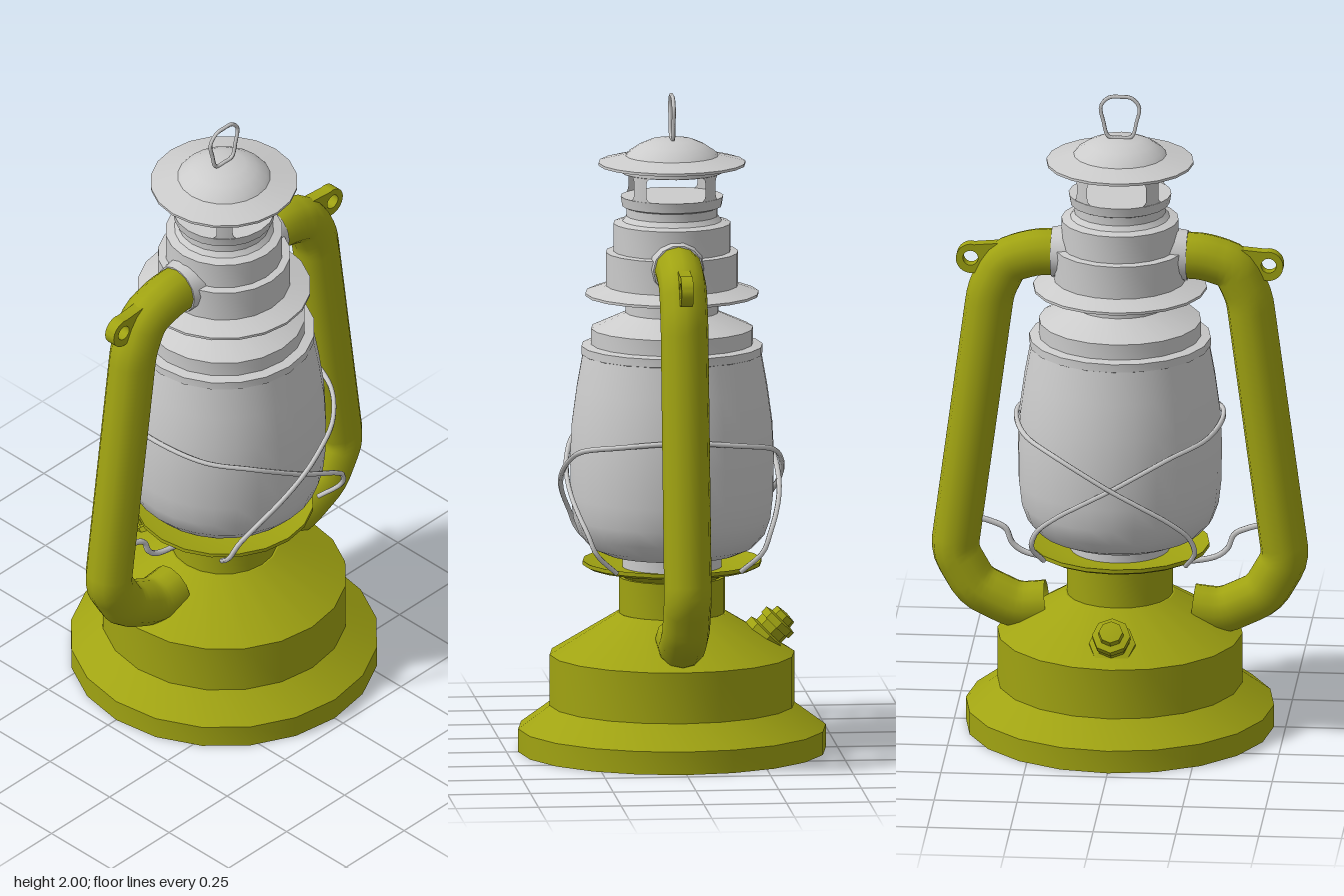
import * as THREE from 'three';
import { toCreasedNormals } from 'three/addons/utils/BufferGeometryUtils.js';

const SIDES = 20;
const olive = new THREE.MeshStandardMaterial({ color: 0xa0a312, side: THREE.DoubleSide });
const grey = new THREE.MeshStandardMaterial({ color: 0xcccccc, side: THREE.DoubleSide });

function part(parent, name, geometry, material) {
  const mesh = new THREE.Mesh(geometry, material);
  mesh.name = name;
  parent.add(mesh);
  return mesh;
}

// Turned part from [radius, height] pairs, bottom to top
function turned(profile, sides = SIDES) {
  const points = profile.map(([r, y]) => new THREE.Vector2(r, y));
  return toCreasedNormals(new THREE.LatheGeometry(points, sides), 0.55);
}

const vectors = (list) => list.map((p) => new THREE.Vector3(...p));

// Thin round wire through a few points
function wire(list, radius, segments = 40, closed = false) {
  const curve = new THREE.CatmullRomCurve3(vectors(list), closed);
  return new THREE.TubeGeometry(curve, segments, radius, 6, closed);
}

// Straight runs joined by rounded corners
function roundedPath(list, cut) {
  const pts = vectors(list);
  const path = new THREE.CurvePath();
  let from = pts[0];
  for (let i = 1; i < pts.length - 1; i++) {
    const a = pts[i].clone().add(pts[i - 1].clone().sub(pts[i]).setLength(cut));
    const b = pts[i].clone().add(pts[i + 1].clone().sub(pts[i]).setLength(cut));
    path.add(new THREE.LineCurve3(from, a));
    path.add(new THREE.QuadraticBezierCurve3(a, pts[i], b));
    from = b;
  }
  path.add(new THREE.LineCurve3(from, pts[pts.length - 1]));
  return path;
}

// Curved window post that flares where it meets the rings
function windowPost(angle, radius, y0, y1) {
  const g = new THREE.PlaneGeometry(1, 1, 4, 12);
  const p = g.attributes.position;
  for (let i = 0; i < p.count; i++) {
    const u = p.getX(i) * 2, v = p.getY(i);
    const half = 0.16 + 0.16 * Math.pow(Math.abs(v) * 2, 6);
    const a = angle + u * half;
    p.setXYZ(i, radius * Math.sin(a), y0 + (v + 0.5) * (y1 - y0), radius * Math.cos(a));
  }
  g.computeVertexNormals();
  return g;
}

export function createModel() {
  const model = new THREE.Group();
  model.name = 'lantern';

  // Fuel tank and burner dish
  part(model, 'fuelTank', turned([
    [0, 0], [0.465, 0], [0.465, 0.07], [0.37, 0.14], [0.37, 0.295],
    [0.165, 0.42], [0.16, 0.42], [0.16, 0.53], [0, 0.53],
  ]), olive);
  part(model, 'burnerDish', turned([
    [0.14, 0.525], [0.175, 0.545], [0.255, 0.56], [0.27, 0.568], [0.27, 0.58],
    [0.25, 0.575], [0.17, 0.56], [0, 0.56],
  ]), olive);

  // Filler cap on the back of the tank
  const cap = part(model, 'fillerCap', turned([
    [0.045, -0.04], [0.045, 0.0], [0.07, 0.0], [0.07, 0.025], [0.052, 0.03],
    [0.052, 0.055], [0.058, 0.055], [0.058, 0.078], [0.038, 0.082], [0.036, 0.102], [0, 0.106],
  ], 8), olive);
  cap.position.set(0, 0.335, -0.272);
  cap.rotation.x = -0.78;

  // Glass globe and its upper holder
  part(model, 'globe', turned([
    [0, 0.56], [0.15, 0.56], [0.15, 0.595], [0.2, 0.602], [0.245, 0.622], [0.28, 0.66], [0.298, 0.71],
    [0.306, 0.78], [0.308, 0.9], [0.303, 1.0], [0.288, 1.11], [0.27, 1.21],
  ], 28), grey);
  part(model, 'globeHolder', turned([
    [0.262, 1.205], [0.274, 1.21], [0.274, 1.235], [0.245, 1.24], [0.245, 1.288],
    [0.14, 1.335], [0.14, 1.4],
  ]), grey);

  // Chimney with its skirt
  part(model, 'chimney', turned([
    [0.13, 1.39], [0.262, 1.388], [0.262, 1.396], [0.2, 1.418], [0.2, 1.52], [0.177, 1.523],
    [0.177, 1.608], [0.15, 1.615], [0.138, 1.63], [0.138, 1.655], [0.15, 1.66],
    [0.155, 1.69], [0.135, 1.69], [0, 1.69],
  ]), grey);
  const windows = new THREE.Group();
  windows.name = 'chimneyWindows';
  model.add(windows);
  for (let i = 0; i < 4; i++) {
    part(windows, 'windowPost', windowPost(Math.PI * (i / 2 + 0.25), 0.152, 1.685, 1.768), grey);
  }
  part(windows, 'windowTopRing', turned([[0.152, 1.762], [0.156, 1.764], [0.156, 1.795]]), grey);

  // Lid and its wire loop
  part(model, 'lid', turned([
    [0, 1.785], [0.15, 1.785], [0.222, 1.785], [0.222, 1.793], [0.14, 1.813], [0.13, 1.825],
    [0.1, 1.845], [0.065, 1.86], [0, 1.863],
  ]), grey);
  part(model, 'lidLoop', wire([
    [0, 1.864, 0], [0.035, 1.868, 0], [0.05, 1.915, 0], [0.058, 1.962, 0], [0.035, 1.99, 0],
    [0, 1.994, 0], [-0.035, 1.99, 0], [-0.058, 1.962, 0], [-0.05, 1.915, 0], [-0.035, 1.868, 0],
  ], 0.006, 48, true), grey);

  // Side frame, mirrored left and right
  const ear = new THREE.Shape();
  ear.moveTo(0.34, 1.525);
  ear.lineTo(0.44, 1.516);
  ear.absarc(0.448, 1.472, 0.046, Math.PI / 2, -Math.PI * 0.75, true);
  ear.lineTo(0.37, 1.4);
  ear.closePath();
  const eye = new THREE.Path();
  eye.absarc(0.45, 1.474, 0.023, 0, Math.PI * 2, true);
  ear.holes.push(eye);
  for (const s of [1, -1]) {
    const side = new THREE.Group();
    side.name = s > 0 ? 'leftFrame' : 'rightFrame';
    model.add(side);

    const path = roundedPath([
      [0.17 * s, 1.495, 0], [0.25 * s, 1.495, 0], [0.345 * s, 1.465, 0], [0.39 * s, 1.37, 0],
      [0.5 * s, 0.54, 0], [0.435 * s, 0.425, 0], [0.31 * s, 0.365, 0], [0.22 * s, 0.375, 0],
    ], 0.035);
    part(side, 'airTube', new THREE.TubeGeometry(path, 64, 0.072, 12), olive);

    const earGeometry = new THREE.ExtrudeGeometry(ear, { depth: 0.036, bevelEnabled: false, curveSegments: 10 });
    earGeometry.translate(0, 0, -0.018);
    if (s < 0) earGeometry.rotateY(Math.PI);
    part(side, 'handleEar', toCreasedNormals(earGeometry, 0.7), olive);

    const collar = part(side, 'tubeCollar', new THREE.CylinderGeometry(0.076, 0.09, 0.09, 14), grey);
    collar.rotation.z = -s * Math.PI / 2;
    collar.position.set(0.16 * s, 1.495, 0);

    // Lever wire from the burner to the tube
    part(side, 'leverWire', wire([
      [0.12 * s, 0.518, 0], [0.2 * s, 0.52, 0], [0.29 * s, 0.538, 0], [0.325 * s, 0.565, 0],
      [0.345 * s, 0.61, 0], [0.39 * s, 0.632, 0], [0.46 * s, 0.65, 0],
    ], 0.009), grey);

    // Guard wire crossing the front and back of the globe
    const half = [
      [0.17, 0.94, 0.29], [0.08, 0.895, 0.322], [0, 0.85, 0.332], [-0.09, 0.8, 0.328],
      [-0.17, 0.75, 0.312], [-0.23, 0.695, 0.288], [-0.247, 0.64, 0.265], [-0.215, 0.575, 0.2],
    ];
    const gap = s > 0 ? 0 : -0.013;
    const front = half.map(([x, y, z]) => [x * s, y, z + gap]);
    const back = front.map(([x, y, z]) => [x, y, -z]);
    const crest = [[0.27 * s, 0.968, 0.18], [0.312 * s, 0.985, 0], [0.27 * s, 0.968, -0.18]];
    part(side, 'guardWire', wire([...front.reverse(), ...crest, ...back], 0.008, 90), grey);
  }
  return model;
}
